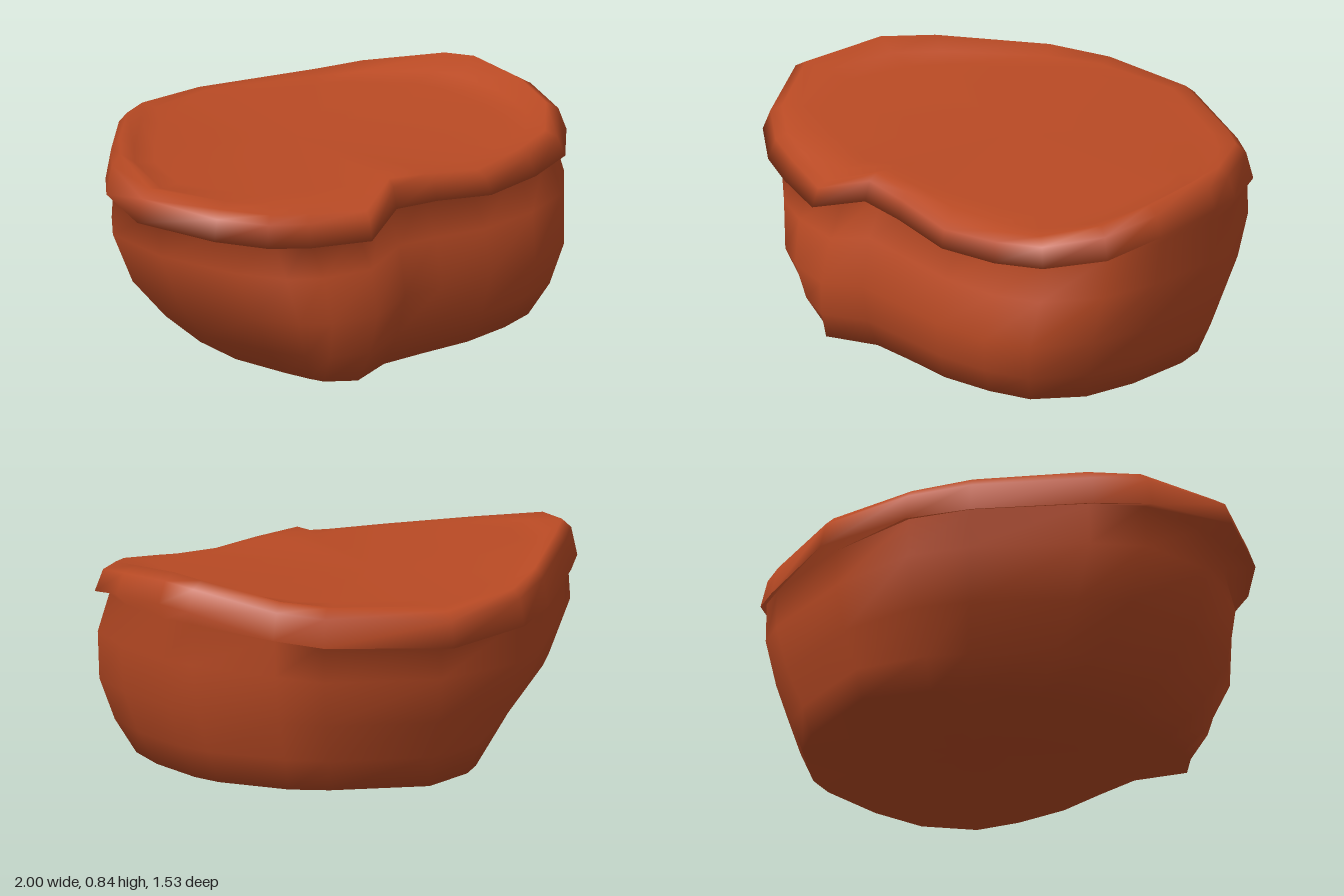
import * as THREE from 'three';

// rim outline, counterclockwise from above: [x, z, lip underside y, lip crest y]
const outline = [
  [-1, .19, .65, .765], [-.87, .47, .61, .715], [-.72, .6, .58, .69], [-.57, .67, .565, .68],
  [-.34, .765, .565, .665], [-.14, .69, .63, .735], [.05, .71, .625, .72], [.3, .74, .6, .69],
  [.55, .72, .615, .715], [.75, .67, .64, .74], [.92, .5, .67, .78], [.985, .28, .71, .815],
  [1, 0, .73, .84], [.97, -.14, .72, .83], [.79, -.43, .64, .775], [.64, -.54, .61, .75],
  [.2, -.765, .59, .72], [-.17, -.71, .61, .745], [-.38, -.58, .63, .775], [-.72, -.27, .66, .81], [-.87, -.11, .665, .81],
];

// Skin between rings of points, closed by a centre point at each end
function loft(rings, bottom, top) {
  const n = rings[0].length, index = [];
  const pos = [...rings.flat(2), ...bottom, ...top];
  const centre = rings.length * n, last = centre - n;
  for (let i = 0; i < n; i++) {
    const j = (i + 1) % n;
    for (let r = 0; r < last; r += n) {
      index.push(r + i, r + j, r + j + n, r + i, r + j + n, r + i + n);
    }
    index.push(j, i, centre, last + i, last + j, centre + 1);
  }
  const g = new THREE.BufferGeometry();
  g.setAttribute('position', new THREE.Float32BufferAttribute(pos, 3));
  g.setIndex(index);
  g.computeVertexNormals();
  return g;
}

// Neck where the body meets the lip
function neck([x, z, low]) {
  const side = x > 0 ? .975 : z < 0 ? .95 : .87;
  return [x * side, Math.min(low + .01, .67), z > 0 ? Math.min(z * .88, .635) : Math.max(z * .97, -.68)];
}

// Foot: left side is cut short, the back left drawn in, the other sides taper gently
function foot([x, z]) {
  let bx = x > 0 ? x * .83 : z < 0 ? x * .5 : x;
  if (bx < -.42) bx = -.42 + (bx + .42) * .09;
  const bz = z > 0 ? z * .9 : x < 0 ? z * .66 : Math.max(z * .81, -.57);
  return [bx, .015 + .032 * bx, bz];
}

// Body ring at height fraction t, spread f from foot to neck, bulging in front and tucked in behind
function bodyRing([t, f, bulge, tuck]) {
  return outline.map((p) => {
    const a = foot(p), b = neck(p);
    const front = THREE.MathUtils.clamp(p[1] / .6, 0, 1);
    const spread = f - tuck * THREE.MathUtils.clamp(-p[1] / .6, 0, 1);
    return [
      a[0] + (b[0] - a[0]) * spread,
      a[1] + (b[1] - a[1]) * t,
      a[2] + (b[2] - a[2]) * spread + bulge * front,
    ];
  });
}

// Lip ring: outline scaled by s, at fraction h between underside and crest
const lipRing = ([s, h]) => outline.map(([x, z, low, high]) => [x * s, low + (high - low) * h, z * s]);

// Inner ring: outline scaled by s, its height levelled towards the flat top by k
const innerRing = ([s, k]) => outline.map(([x, z, , high]) => [x * s, high + (.73 - high) * k, z * s]);

export function createModel() {
  const group = new THREE.Group();
  const clay = new THREE.MeshStandardMaterial({ color: 0xb94a24 });
  clay.name = 'terracotta';

  // Bulging body, overhanging lip and shallow top in one smooth skin
  const body = [[0, 0, 0, 0], [.2, .45, .07, .22], [.45, .82, .11, .12], [.75, 1.03, .08, 0], [1, 1, 0, 0]];
  const lip = [[1, 0], [.97, .75], [.925, 1]];
  const inner = [[.85, .55], [.74, .78]];
  const rings = [...body.map(bodyRing), ...lip.map(lipRing), ...inner.map(innerRing)];
  const bowl = new THREE.Mesh(loft(rings, [.15, .025, .05], [0, .725, 0]), clay);
  bowl.name = 'bowl';
  group.add(bowl);
  return group;
}
